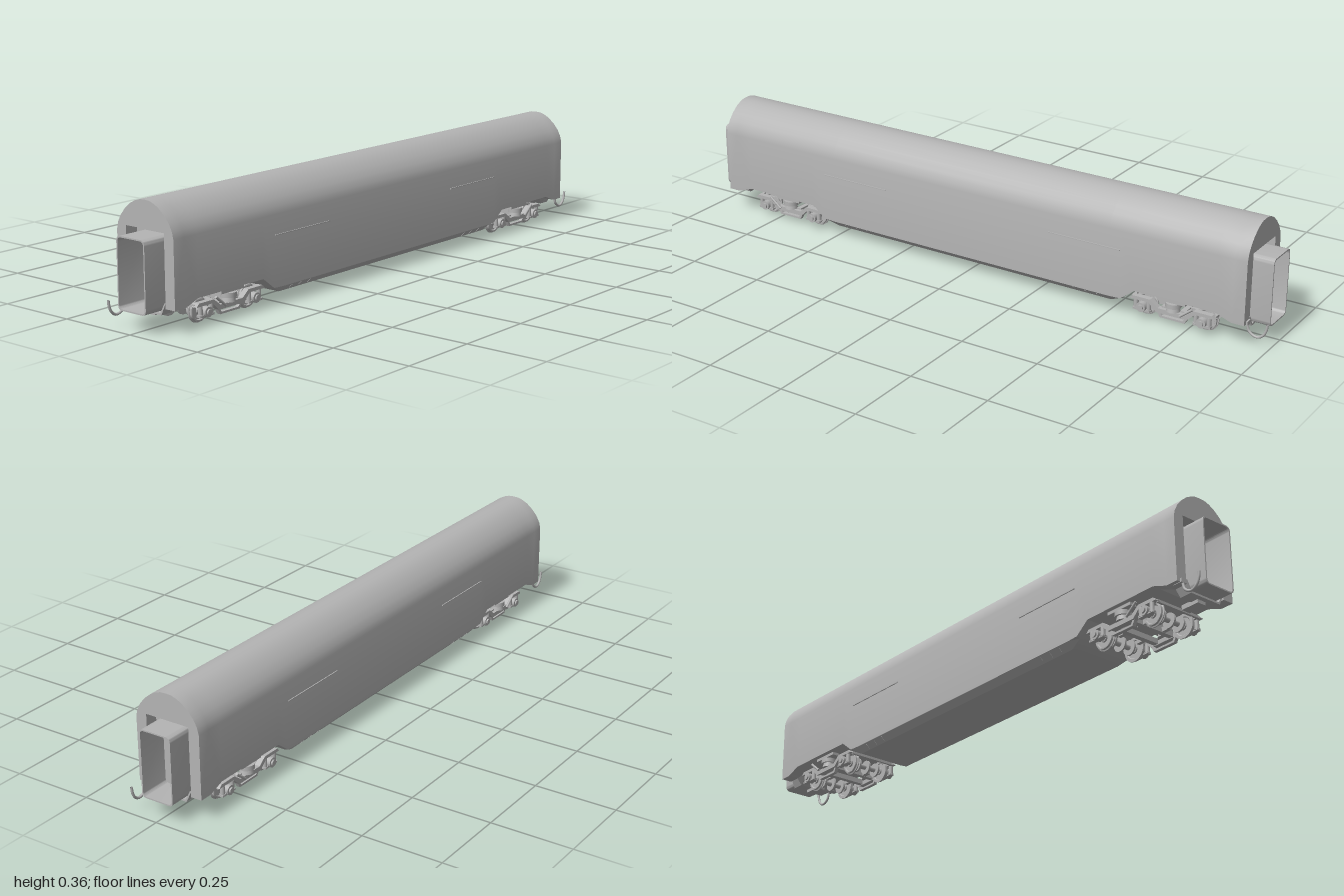
import * as THREE from 'three';
import { toCreasedNormals } from 'three/addons/utils/BufferGeometryUtils.js';

const grey = new THREE.MeshStandardMaterial({ color: 0xb4b4b4, side: THREE.DoubleSide });
grey.name = 'plain grey';

function add(parent, name, geo, x = 0, y = 0, z = 0) {
  const m = new THREE.Mesh(geo, grey);
  m.name = name;
  m.position.set(x, y, z);
  parent.add(m);
  return m;
}
const box = (w, h, d) => new THREE.BoxGeometry(w, h, d);
const cyl = (r1, r2, h, n = 20) => new THREE.CylinderGeometry(r1, r2, h, n);
const cylX = (r, h, n = 20) => cyl(r, r, h, n).rotateZ(Math.PI / 2);
const toShape = pts => new THREE.Shape(pts.map(p => new THREE.Vector2(...p)));
const extrude = (shape, depth) =>
  new THREE.ExtrudeGeometry(shape, { depth, bevelEnabled: false, curveSegments: 6 });
// side outline given as (z, y), extruded across x and centred
const extrudeX = (pts, w) => extrude(toShape(pts), w).translate(0, 0, -w / 2).rotateY(-Math.PI / 2);

// roof outline, from the left eave over the top to the right eave
const half = [[.107, .265], [.102, .286], [.091, .307], [.074, .327], [.052, .345], [.034, .354], [.018, .359]];
const roof = [...half, [0, .36], ...half.map(([x, y]) => [-x, y]).reverse()];

// full cross-section: roof plus the three corners of each lower edge
function section(low) {
  return [...low.slice().reverse(), ...roof, ...low.map(([x, y]) => [-x, y])];
}
const endLow = [[.107, .07], [.072, .07], [.055, .05]];
const bogieLow = [[.107, .088], [.08, .088], [.06, .088]];
const sideLow = [[.107, .053], [.095, .05], [.08, .05]];
const bellyLow = [[.107, .051], [.088, .032], [.06, .032]];

function hull() {
  const halfStations = [[.895, endLow], [.845, bogieLow], [.585, bogieLow], [.54, sideLow], [.5, bellyLow]];
  const stations = [...halfStations.map(([z, l]) => [-z, l]), ...halfStations.slice().reverse()];
  const pos = [], idx = [];
  const n = section(endLow).length;
  for (const [z, low] of stations) for (const [x, y] of section(low)) pos.push(x, y, z);
  for (let s = 0; s < stations.length - 1; s++) for (let i = 0; i < n; i++) {
    const a = s * n + i, b = s * n + (i + 1) % n;
    idx.push(a, b, b + n, a, b + n, a + n);
  }
  const g = new THREE.BufferGeometry();
  g.setAttribute('position', new THREE.Float32BufferAttribute(pos, 3));
  g.setIndex(idx);
  return toCreasedNormals(g, .45);
}

function roundRect(S, w, y0, y1, r) {
  const s = new S();
  s.moveTo(-w + r, y0).lineTo(w - r, y0).quadraticCurveTo(w, y0, w, y0 + r);
  s.lineTo(w, y1 - r).quadraticCurveTo(w, y1, w - r, y1);
  s.lineTo(-w + r, y1).quadraticCurveTo(-w, y1, -w, y1 - r);
  s.lineTo(-w, y0 + r).quadraticCurveTo(-w, y0, -w + r, y0);
  return s;
}

function makeEnd() {
  const end = new THREE.Group();
  end.name = 'carriageEnd';
  // end wall behind the recess, and the portal around it
  add(end, 'recessWall', new THREE.ShapeGeometry(toShape(section(endLow))), 0, 0, .895);
  const portal = toShape([[.107, .07], ...roof, [-.107, .07], [-.072, .07], [-.072, .28], [.072, .28], [.072, .07]]);
  add(end, 'endPortal', toCreasedNormals(extrude(portal, .04), .45), 0, 0, .895);
  const sill = [[-.072, .085], [-.055, .05], [.055, .05], [.072, .085], [.067, .085], [.052, .056], [-.052, .056], [-.067, .085]];
  add(end, 'endSill', extrude(toShape(sill), .04), 0, 0, .895);
  // hollow gangway bellows
  const tube = roundRect(THREE.Shape, .053, .058, .265, .016);
  tube.holes.push(roundRect(THREE.Path, .049, .062, .261, .013));
  add(end, 'gangway', toCreasedNormals(extrude(tube, .095), .6), 0, 0, .895);
  // brake hose and its bracket
  const curve = new THREE.CatmullRomCurve3([[.07, .935], [.05, .94], [.038, .955], [.036, .97], [.046, .985], [.062, .993], [.08, .996]]
    .map(([y, z]) => new THREE.Vector3(-.085, y, z)));
  add(end, 'brakeHose', new THREE.TubeGeometry(curve, 24, .004, 8));
  add(end, 'hoseBracket', box(.02, .012, .03), -.085, .074, .925);
  // couplings under the sill
  add(end, 'couplerBar', box(.03, .014, .06), 0, .047, .89);
  return end;
}

// wheel profile: hub, thin web, tread and inner flange
const wheelGeo = toCreasedNormals(new THREE.LatheGeometry([
  [0, -.007], [.011, -.007], [.012, -.003], [.026, -.003], [.028, -.005], [.037, -.005], [.037, -.002],
  [.0335, 0], [.033, .006], [.028, .006], [.026, .002], [.012, .002], [.011, .007], [0, .007]
].map(p => new THREE.Vector2(...p)), 28), .6);

function makeBogie() {
  const bogie = new THREE.Group();
  bogie.name = 'bogie';
  for (const z of [-.097, .097]) {
    add(bogie, 'axle', cylX(.008, .18, 14), 0, .037, z);
    for (const x of [-.036, 0, .036]) add(bogie, 'brakeDisc', cylX(.023, .006, 24), x, .037, z);
    for (const s of [-1, 1]) {
      add(bogie, 'wheel', wheelGeo, s * .058, .037, z).rotation.z = -s * Math.PI / 2;
      add(bogie, 'axleBox', cylX(.015, .024, 16), s * .087, .037, z);
      add(bogie, 'axleCap', cylX(.009, .008, 12), s * .1, .037, z);
      for (const d of [-.021, .021]) {
        add(bogie, 'springSeat', cyl(.009, .009, .004, 14), s * .086, .029, z + d);
        add(bogie, 'primarySpring', cyl(.007, .007, .026, 12), s * .086, .043, z + d);
      }
      add(bogie, 'axleBoxArm', box(.014, .006, .056), s * .086, .027, z);
    }
  }
  // side frame: high over the axles, dropped in the middle
  const frame = [[-.138, .056], [-.128, .066], [-.07, .066], [-.045, .046], [.045, .046], [.07, .066], [.128, .066], [.138, .056],
    [.075, .056], [.05, .032], [-.05, .032], [-.075, .056]];
  for (const s of [-1, 1]) {
    add(bogie, 'sideFrame', extrudeX(frame, .018), s * .083, 0, 0);
    // air spring and mounting plates
    add(bogie, 'airSpring', cyl(.024, .024, .014), s * .08, .066, 0);
    add(bogie, 'springBase', cyl(.018, .021, .014), s * .08, .052, 0);
    add(bogie, 'springTop', box(.024, .009, .09), s * .085, .08, 0);
    // low hanger under the frame
    const hanger = [[-.05, .034], [-.04, .016], [.04, .016], [.05, .034], [.042, .034], [.034, .022], [-.034, .022], [-.042, .034]];
    add(bogie, 'hanger', extrudeX(hanger, .012), s * .08, 0, 0);
    const damper = add(bogie, 'damper', cyl(.004, .004, .05, 10), s * .099, .058, .05);
    damper.rotation.x = .9;
    // brake hangers inside the wheels
    for (const z of [-.048, .048]) add(bogie, 'brakeCaliper', box(.012, .014, .03), s * .036, .042, z);
  }
  for (const z of [-.03, .03]) add(bogie, 'crossBeam', box(.16, .016, .016), 0, .042, z);
  for (const z of [-.132, .132]) add(bogie, 'endBeam', box(.16, .008, .008), 0, .058, z);
  add(bogie, 'bolster', box(.16, .014, .04), 0, .064, 0);
  add(bogie, 'centrePivot', cyl(.02, .02, .04), 0, .072, 0);
  return bogie;
}

export function createModel() {
  const model = new THREE.Group();
  model.name = 'railwayCarriage';
  add(model, 'bodyShell', hull());
  for (const turn of [0, Math.PI]) {
    const end = makeEnd();
    end.rotation.y = turn;
    const bogie = makeBogie();
    bogie.position.z = turn ? -.7 : .7;
    bogie.rotation.y = turn;
    model.add(end, bogie);
  }
  // thin rails on the body sides and small vents on the sloping belly
  for (const s of [-1, 1]) for (const e of [-1, 1]) {
    add(model, 'sideRail', box(.004, .003, .24), s * .108, .205, e * .415);
    for (let i = 0; i < 3; i++) {
      const rib = add(model, 'bellyVent', box(.016, .002, .003), s * .0975, .0415, e * (.38 + i * .04));
      rib.rotation.z = s * Math.PI / 4;
    }
  }
  return model;
}
